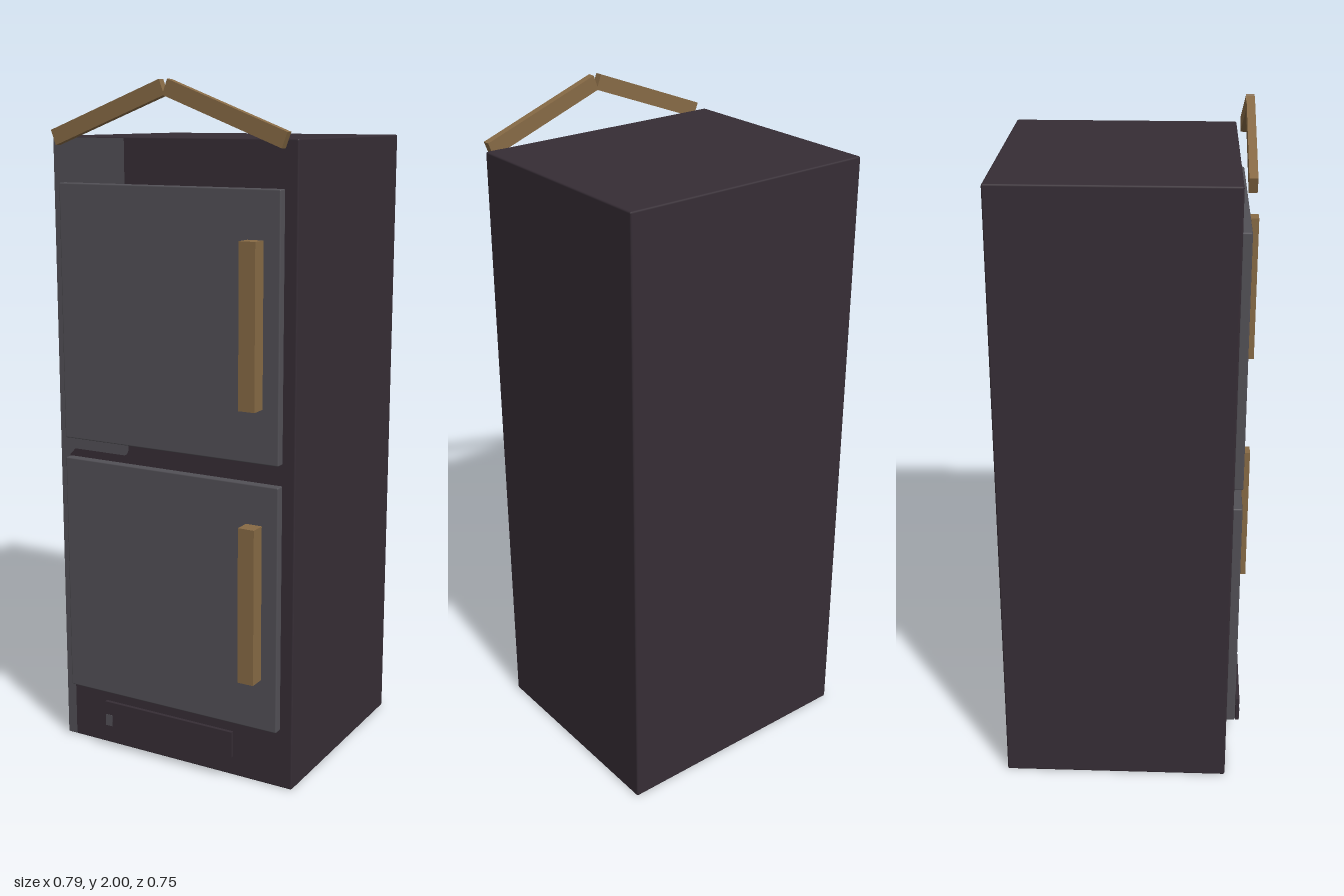
import * as THREE from 'three';
import { RoundedBoxGeometry } from 'three/addons/geometries/RoundedBoxGeometry.js';

const material = (name, color) => {
  const m = new THREE.MeshStandardMaterial({ color });
  m.name = name;
  return m;
};

export function createModel() {
  const model = new THREE.Group();
  model.name = 'cabinet';
  const dark = material('dark plum', 0x362d35);
  const grey = material('slate grey', 0x525056);
  const brass = material('brass', 0x876a45);

  // Box given by its minimum and maximum corners, with an optional small edge bevel
  const box = (name, mat, [x0, y0, z0], [x1, y1, z1], bevel = 0) => {
    const size = [x1 - x0, y1 - y0, z1 - z0];
    const geometry = bevel ? new RoundedBoxGeometry(...size, 1, bevel) : new THREE.BoxGeometry(...size);
    const mesh = new THREE.Mesh(geometry, mat);
    mesh.name = name;
    mesh.position.set((x0 + x1) / 2, (y0 + y1) / 2, (z0 + z1) / 2);
    model.add(mesh);
    return mesh;
  };

  // Main cabinet
  box('body', dark, [-0.394, 0, -0.373], [0.392, 1.846, 0.298], 0.005);

  // Painted area on the front: wide beside the upper door, a narrow strip below
  const patch = new THREE.Shape();
  patch.moveTo(-0.391, 0.004);
  patch.lineTo(-0.36, 0.004);
  patch.lineTo(-0.36, 0.91);
  patch.lineTo(-0.34, 0.93);
  patch.lineTo(-0.165, 0.93);
  patch.quadraticCurveTo(-0.15, 0.933, -0.15, 0.96);
  patch.lineTo(-0.15, 1.842);
  patch.lineTo(-0.391, 1.842);
  patch.closePath();
  const paint = new THREE.Mesh(new THREE.ShapeGeometry(patch), grey);
  paint.name = 'frontPaint';
  paint.position.z = 0.3;
  model.add(paint);

  // Two doors, each with an upright handle
  for (const [name, bottom, top, low, high] of [
    ['upper', 0.967, 1.716, 1.122, 1.581],
    ['lower', 0.179, 0.907, 0.333, 0.791],
  ]) {
    box(name + 'Door', grey, [-0.358, bottom, 0.297], [0.354, top, 0.325], 0.004);
    box(name + 'Handle', brass, [0.254, low, 0.324], [0.304, high, 0.372]);
  }

  // Bottom vent panel standing off the front, with a small painted corner
  box('ventPanel', dark, [-0.221, 0.08, 0.333], [0.219, 0.159, 0.344]);
  box('ventPaint', grey, [-0.219, 0.082, 0.343], [-0.196, 0.118, 0.345]);

  // Pair of sloping beams forming a gable
  for (const side of [-1, 1]) {
    const beam = new THREE.Mesh(new THREE.BoxGeometry(0.387, 0.045, 0.023), brass);
    beam.name = side < 0 ? 'rightGableBeam' : 'leftGableBeam';
    beam.position.set(side * 0.186, 1.9105, 0.321);
    beam.rotation.z = -side * 0.361;
    model.add(beam);
  }
  return model;
}
